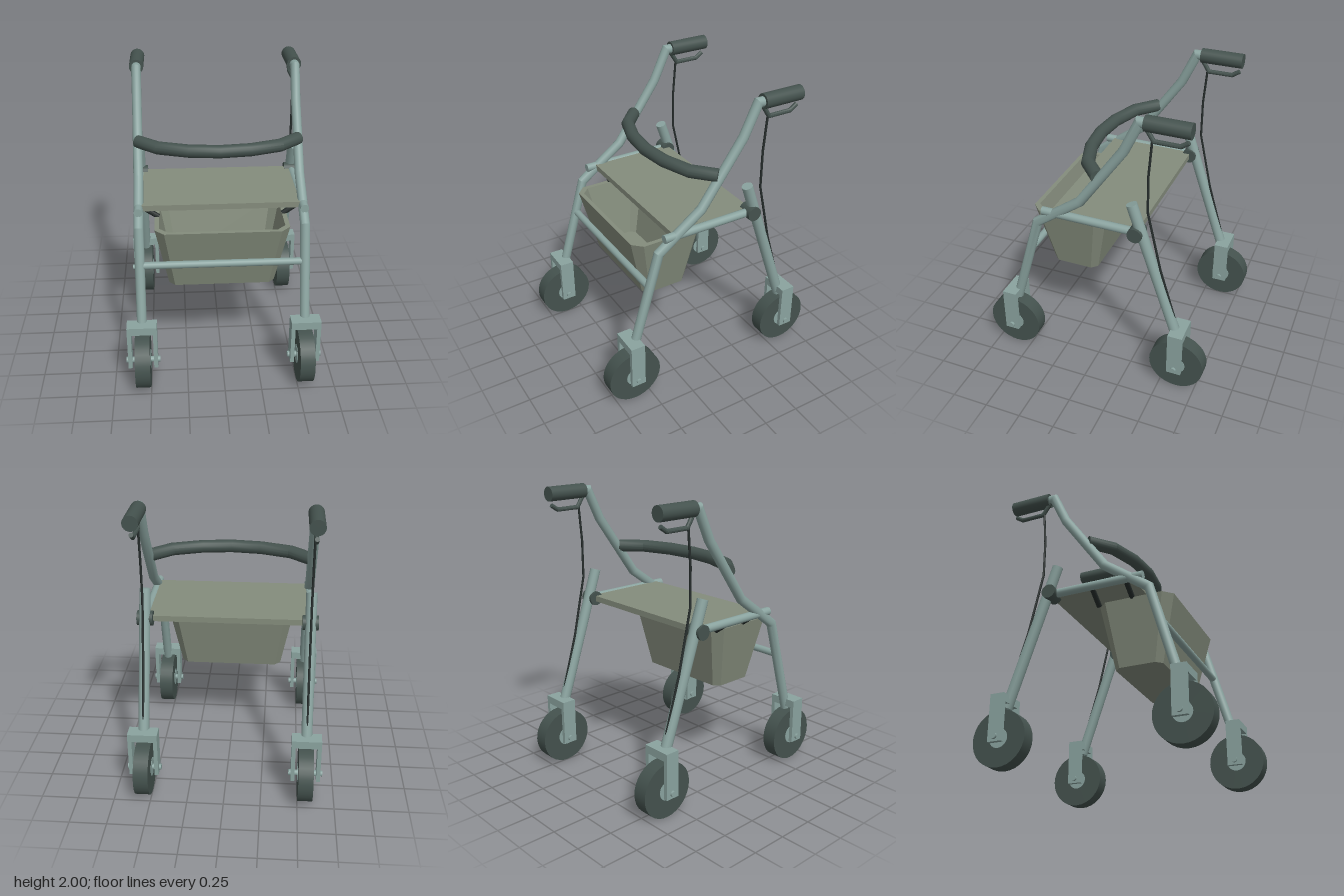
import * as THREE from 'three';
import { toCreasedNormals } from 'three/addons/utils/BufferGeometryUtils.js';

const paint = (color) => new THREE.MeshStandardMaterial({ color });
const steel = paint(0x8aa39f), rubber = paint(0x44524e), fabric = paint(0x848c7c), black = paint(0x252c2b);
const V = (x, y, z) => new THREE.Vector3(x, y, z);

// Skin between equal loops of points, closed at both ends
function loft(rings) {
  const n = rings[0].length, last = rings.length - 1, pos = [], idx = [];
  rings.forEach((ring) => ring.forEach((p) => pos.push(p.x, p.y, p.z)));
  for (let r = 0; r < last; r++) {
    for (let i = 0; i < n; i++) {
      const a = r * n + i, b = r * n + (i + 1) % n;
      idx.push(a, b, b + n, a, b + n, a + n);
    }
  }
  [0, last].forEach((r, end) => {
    const c = pos.length / 3;
    const mid = rings[r].reduce((s, p) => s.add(p), V(0, 0, 0)).divideScalar(n);
    pos.push(mid.x, mid.y, mid.z);
    for (let i = 0; i < n; i++) {
      const a = r * n + i, b = r * n + (i + 1) % n;
      if (end) idx.push(c, a, b); else idx.push(c, b, a);
    }
  });
  const g = new THREE.BufferGeometry();
  g.setAttribute('position', new THREE.Float32BufferAttribute(pos, 3));
  g.setIndex(idx);
  return toCreasedNormals(g, 0.5);
}

// Round tube with mitred bends along a flat path; u is the normal of the path's plane
function bentTube(points, radius, u, sides = 16) {
  return loft(points.map((p, i) => {
    const before = points[Math.max(i - 1, 0)], after = points[Math.min(i + 1, points.length - 1)];
    const d0 = (i ? p.clone().sub(before) : after.clone().sub(p)).normalize();
    const d1 = (i < points.length - 1 ? after.clone().sub(p) : d0.clone()).normalize();
    const t = d0.clone().add(d1).normalize();
    const v = t.clone().cross(u).divideScalar(t.dot(d0));
    return Array.from({ length: sides }, (_, k) => {
      const a = k / sides * Math.PI * 2;
      return p.clone().addScaledVector(u, Math.cos(a) * radius).addScaledVector(v, Math.sin(a) * radius);
    });
  }));
}

// Rectangle loop with cut corners at height y
function trayLoop(y, hx, z0, z1, c) {
  return [[hx, z1 - c], [hx, z0 + c], [hx - c, z0], [c - hx, z0],
    [-hx, z0 + c], [-hx, z1 - c], [c - hx, z1], [hx - c, z1]].map(([x, z]) => V(x, y, z));
}

function add(parent, name, geometry, material, x = 0, y = 0, z = 0) {
  const mesh = new THREE.Mesh(geometry, material);
  mesh.name = name;
  mesh.position.set(x, y, z);
  parent.add(mesh);
  return mesh;
}

const crossCylinder = (r, length, sides = 24) =>
  new THREE.CylinderGeometry(r, r, length, sides).rotateZ(Math.PI / 2);

// Wheel with its hub, axle and fork
function caster(name, x, z) {
  const g = new THREE.Group();
  g.name = name;
  g.position.set(x, 0, z);
  add(g, 'tyre', crossCylinder(0.19, 0.1, 32), rubber, 0, 0.19, 0);
  add(g, 'hub', crossCylinder(0.065, 0.106), steel, 0, 0.19, 0);
  add(g, 'axle', crossCylinder(0.02, 0.23, 16), steel, 0, 0.19, 0);
  add(g, 'forkCrown', new THREE.BoxGeometry(0.2, 0.055, 0.1), steel, 0, 0.448, 0);
  for (const s of [-1, 1]) {
    add(g, 'forkLeg', new THREE.BoxGeometry(0.027, 0.266, 0.1), steel, s * 0.0865, 0.288, 0);
  }
  return g;
}

// Everything that lies in one side plane
function sideFrame(s) {
  const g = new THREE.Group();
  g.name = s > 0 ? 'leftSide' : 'rightSide';
  const X = 0.55 * s, across = V(1, 0, 0);
  const tube = (name, zy, r, mat, sides) =>
    add(g, name, bentTube(zy.map(([z, y]) => V(X, y, z)), r, across, sides), mat);

  tube('frontTube', [[0.595, 0.4], [0.4, 1.08], [0.085, 1.31], [-0.217, 1.74], [-0.315, 1.95], [-0.37, 1.95]], 0.033, steel);
  tube('rearTube', [[-0.6, 0.4], [-0.268, 1.376]], 0.037, steel);
  tube('seatRail', [[0.36, 1.175], [-0.305, 1.175]], 0.029, steel);
  tube('handGrip', [[-0.35, 1.95], [-0.64, 1.95]], 0.05, rubber, 24);
  tube('brakeLever', [[-0.35, 1.925], [-0.405, 1.84], [-0.57, 1.84], [-0.62, 1.873]], 0.015, rubber, 10);
  tube('brakeCable', [[-0.395, 1.84], [-0.376, 1.6], [-0.376, 1.34], [-0.47, 0.92], [-0.58, 0.55]], 0.008, black, 8);
  add(g, 'pivotKnob', crossCylinder(0.05, 0.106), rubber, X, 1.175, -0.305);

  // Arms from the rail to the basket rim
  for (const z of [0.235, -0.01]) {
    add(g, 'basketHanger', bentTube([V(X, 1.175, z), V(0.42 * s, 1.085, z)], 0.018, V(0, 0, 1), 12), black);
  }
  g.add(caster('frontCaster', X, 0.615), caster('rearCaster', X, -0.615));
  return g;
}

export function createModel() {
  const model = new THREE.Group();
  model.name = 'wheeledWalker';
  model.add(sideFrame(1), sideFrame(-1));

  add(model, 'seat', new THREE.BoxGeometry(1.06, 0.04, 0.605), fabric, 0, 1.175, -0.008);
  add(model, 'crossBar', crossCylinder(0.025, 1.1, 16), steel, 0, 0.84, 0.467);

  // Curved backrest bar
  const arc = [[-0.55, -0.04], [-0.41, 0.085], [-0.205, 0.153], [0, 0.175], [0.205, 0.153], [0.41, 0.085], [0.55, -0.04]];
  add(model, 'backrest', bentTube(arc.map(([x, z]) => V(x, 1.52, z)), 0.044, V(0, 1, 0)), rubber);

  // Open basket: outside up, over the rim, inside down to the floor
  add(model, 'basket', loft([
    trayLoop(0.64, 0.36, 0.07, 0.4, 0.04),
    trayLoop(1.09, 0.445, -0.02, 0.508, 0.062),
    trayLoop(1.09, 0.415, 0.01, 0.478, 0.055),
    trayLoop(0.67, 0.335, 0.1, 0.372, 0.035),
  ]), fabric);
  return model;
}
